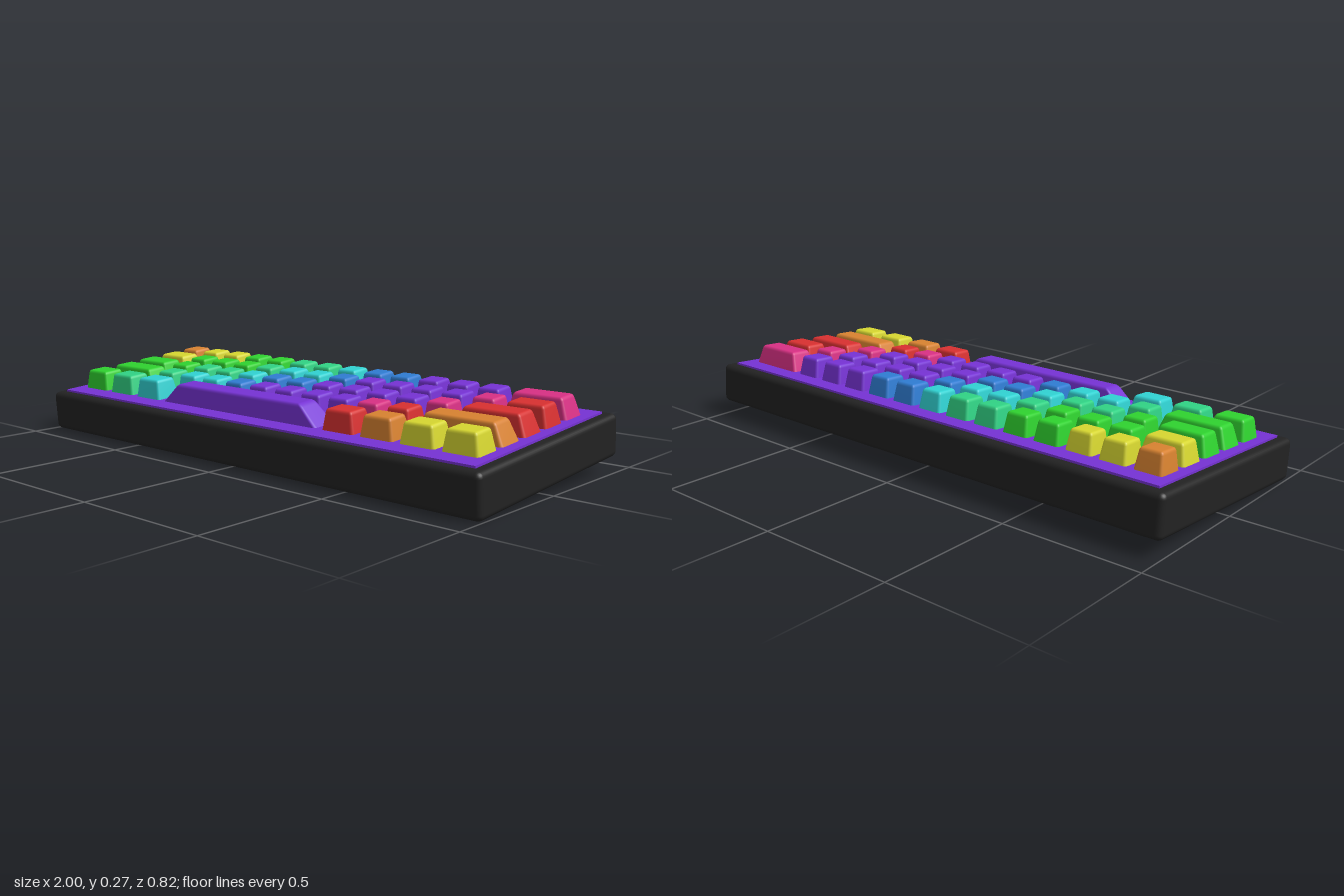
import * as THREE from 'three';
import { mergeVertices } from 'three/addons/utils/BufferGeometryUtils.js';
import { RoundedBoxGeometry } from 'three/addons/geometries/RoundedBoxGeometry.js';

const PITCH = 0.125;      // size of one key unit
const GAP = 0.023;        // space between keys
const KEY_HEIGHT = 0.085; // includes the part sunk into the plate
const PLATE_TOP = 0.0805;
const TILT = THREE.MathUtils.degToRad(4);

const COLORS = {
  K: ['charcoal', 0x222222],
  V: ['violet', 0x7632d4],
  R: ['red', 0xd83030],
  O: ['orange', 0xd88230],
  Y: ['yellow', 0xd6d630],
  G: ['green', 0x2fd22f],
  M: ['mint', 0x30d284],
  C: ['cyan', 0x30d2d2],
  B: ['blue', 0x2f7cd2],
  P: ['pink', 0xd83084],
};

// Rows from back to front: colour letter, then width in units when not 1
const ROWS = [
  'O Y Y G G M M C B B V V V P2',
  'Y1.5 G G G M C C B V V V V P R1.5',
  'G1.75 G M M C B B V V V V P R2.25',
  'G2.25 M C C B V V V V P R O2.75',
  'G1.25 M1.25 C1.25 V6.25 R1.25 O1.25 Y1.25 Y1.25',
];

// Rounded block whose cross-section shrinks towards the top
function keycapGeometry(units) {
  let geo = new RoundedBoxGeometry(units * PITCH - GAP, KEY_HEIGHT, PITCH - GAP, 2, 0.012);
  const pos = geo.attributes.position;
  for (let i = 0; i < pos.count; i++) {
    const t = pos.getY(i) / KEY_HEIGHT + 0.5;
    const s = 1.03 - 0.24 * t;
    pos.setX(i, pos.getX(i) * s);
    pos.setZ(i, pos.getZ(i) * s);
  }
  geo.deleteAttribute('normal');
  geo.deleteAttribute('uv');
  geo = mergeVertices(geo, 1e-5);
  geo.computeVertexNormals();
  return geo;
}

export function createModel() {
  const model = new THREE.Group();
  model.name = 'keyboard';

  const mats = {};
  for (const [key, [name, color]] of Object.entries(COLORS)) {
    mats[key] = new THREE.MeshStandardMaterial({ color });
    mats[key].name = name;
  }

  // Everything leans forward together
  const body = new THREE.Group();
  body.name = 'tiltedBody';
  body.position.y = 0.1;
  body.rotation.x = TILT;
  model.add(body);

  // Case
  const shell = new THREE.Mesh(new RoundedBoxGeometry(2, 0.146, 0.8145, 3, 0.02), mats.K);
  shell.name = 'case';
  body.add(shell);

  // Plate under the keys, slightly proud of the case
  const plate = new THREE.Mesh(new THREE.BoxGeometry(1.922, 0.02, 0.739), mats.V);
  plate.name = 'plate';
  plate.position.y = PLATE_TOP - 0.01;
  body.add(plate);

  // Keys, one shared geometry per width
  const shapes = {};
  const keys = new THREE.Group();
  keys.name = 'keys';
  body.add(keys);
  ROWS.forEach((row, r) => {
    let x = -7.5 * PITCH;
    row.split(' ').forEach((code, c) => {
      const units = Number(code.slice(1)) || 1;
      shapes[units] ??= keycapGeometry(units);
      const key = new THREE.Mesh(shapes[units], mats[code[0]]);
      key.name = units > 6 ? 'spaceBar' : `key_row${r + 1}_${c + 1}`;
      key.position.set(
        x + (units * PITCH) / 2,
        PLATE_TOP + 0.071 - KEY_HEIGHT / 2,
        (r - 2) * PITCH,
      );
      keys.add(key);
      x += units * PITCH;
    });
  });

  return model;
}
